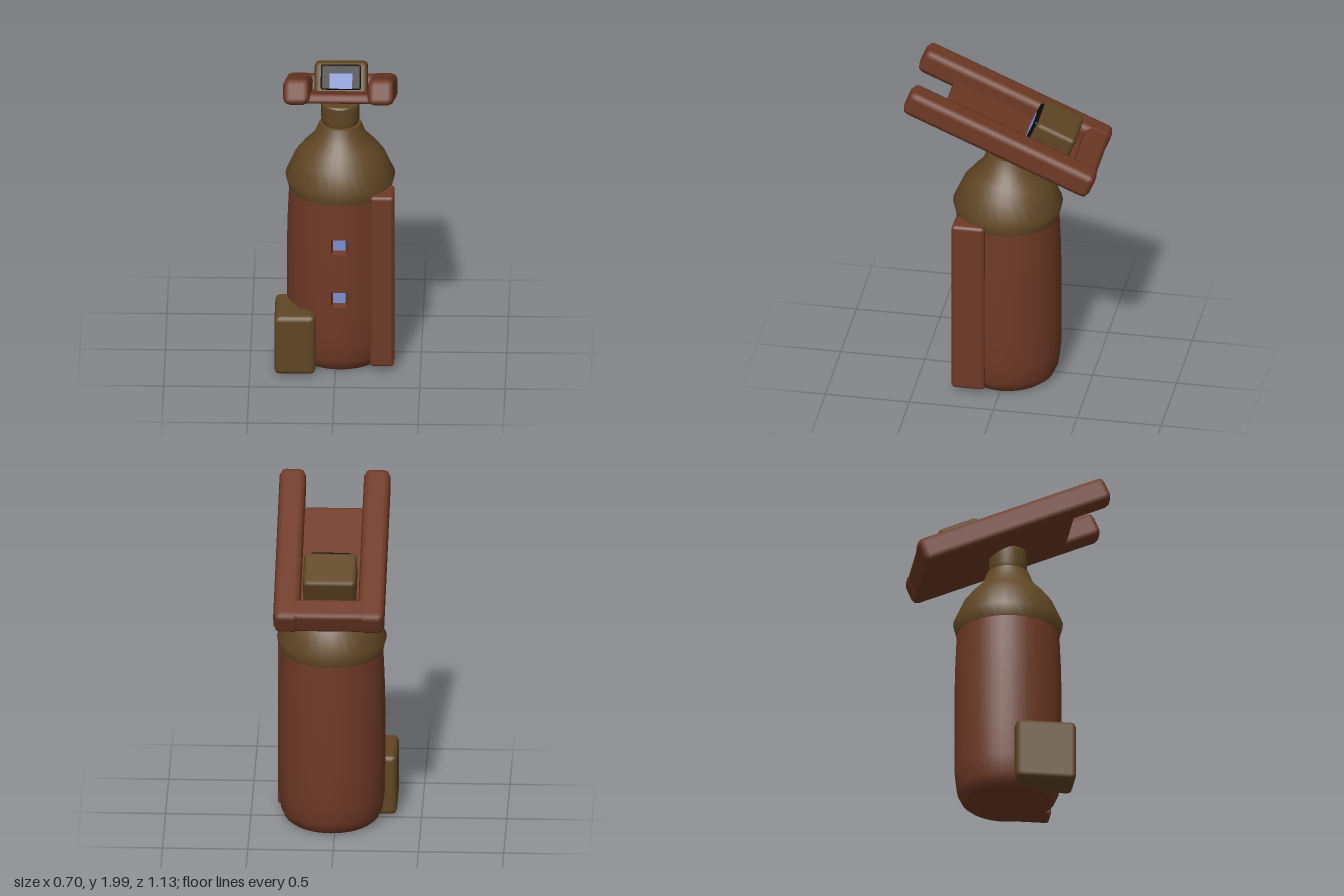
import * as THREE from 'three';
import { RoundedBoxGeometry } from 'three/addons/geometries/RoundedBoxGeometry.js';

const CX = 0.025; // main axis of the bottle

export function createModel() {
  const model = new THREE.Group();
  model.name = 'bottleDevice';

  const mat = (name, color, side = THREE.FrontSide) => {
    const m = new THREE.MeshStandardMaterial({ color, side });
    m.name = name;
    return m;
  };
  const brown = mat('rust brown', 0x6e3926, THREE.DoubleSide);
  const olive = mat('olive brown', 0x604624);
  const black = mat('black', 0x0a0a0a);
  const blue = mat('pale blue', 0x7b8fd0);

  const add = (parent, name, geometry, material, x = 0, y = 0, z = 0) => {
    const mesh = new THREE.Mesh(geometry, material);
    mesh.name = name;
    mesh.position.set(x, y, z);
    parent.add(mesh);
    return mesh;
  };
  // Bevelled box given by its limits on each axis
  const block = (parent, name, material, [x0, x1], [y0, y1], [z0, z1], bevel) =>
    add(parent, name, new RoundedBoxGeometry(x1 - x0, y1 - y0, z1 - z0, 1, bevel), material,
      (x0 + x1) / 2, (y0 + y1) / 2, (z0 + z1) / 2);
  const lathe = (pts, segments = 32, start = 0, length = Math.PI * 2) =>
    new THREE.LatheGeometry(pts.map(([r, y]) => new THREE.Vector2(r, y)), segments, start, length);

  // Body: a lathe left open in a narrow front strip, which is filled around the windows
  const profile = [[0, 0], [0.25, 0], [0.25, 0], [0.275, 0.02], [0.298, 0.07], [0.312, 0.18],
    [0.314, 0.4], [0.314, 0.7], [0.309, 0.9], [0.3, 1.1]];
  const windows = [0.475, 0.815];
  const half = 0.048;
  const angle = Math.asin(half / 0.314);
  const radiusAt = (y) => {
    const i = profile.findIndex((p, k) => k > 2 && p[1] >= y);
    const [a, b] = [profile[i - 1], profile[i]];
    return a[0] + (b[0] - a[0]) * (y - a[1]) / (b[1] - a[1]);
  };
  add(model, 'body', lathe(profile, 36, angle, Math.PI * 2 - 2 * angle), brown, CX);
  const cuts = [0, ...windows.flatMap((y) => [y - half, y + half]), 1.1];
  for (let i = 0; i < cuts.length; i += 2) {
    const [lo, hi] = [cuts[i], cuts[i + 1]];
    const pts = profile.filter(([, y]) => (y > lo && y < hi) || (lo === 0 && y === 0));
    if (lo > 0) pts.unshift([radiusAt(lo), lo]);
    pts.push([radiusAt(hi), hi]);
    add(model, 'bodyFrontStrip', lathe(pts, 2, -angle, 2 * angle), brown, CX);
  }

  // Recessed square windows with sloping walls
  for (const y of windows) {
    const walls = new THREE.CylinderGeometry(half * Math.SQRT2, 0.036 * Math.SQRT2, 0.05, 4, 1, true)
      .rotateY(Math.PI / 4).rotateX(Math.PI / 2).toNonIndexed();
    walls.computeVertexNormals();
    add(model, 'windowRecess', walls, brown, CX, y, 0.286);
    add(model, 'windowPane', new THREE.BoxGeometry(0.074, 0.074, 0.008), blue, CX, y, 0.264);
  }

  // Shoulder and neck
  add(model, 'shoulder', lathe([[0.29, 1.08], [0.302, 1.08], [0.302, 1.08], [0.322, 1.155],
    [0.266, 1.28], [0.215, 1.345], [0.155, 1.405], [0.122, 1.485], [0.122, 1.485], [0.1, 1.49]]), olive, CX);
  add(model, 'neck', lathe([[0.1, 1.47], [0.106, 1.49], [0.112, 1.52], [0.112, 1.61], [0.112, 1.61],
    [0.105, 1.62], [0.105, 1.62], [0, 1.62]]), olive, CX);

  // Upright panel on the left side and small box at the right front
  block(model, 'sidePanel', brown, [0.203, 0.345], [0.03, 1.125], [0.083, 0.28], 0.02);
  block(model, 'sideBox', olive, [-0.355, -0.115], [0.008, 0.38], [0, 0.357], 0.03);

  // Tilted tray on top: rails, rear bar, floor plate
  const tray = new THREE.Group();
  tray.name = 'tray';
  tray.position.set(CX, 1.697, 0);
  tray.rotation.x = -0.408;
  model.add(tray);
  for (const s of [-1, 1]) {
    const xs = s < 0 ? [-0.325, -0.17] : [0.17, 0.325];
    block(tray, 'rail', brown, xs, [-0.078, 0.078], [-0.6, 0.6], 0.038);
  }
  block(tray, 'rearBar', brown, [-0.25, 0.25], [-0.074, 0.074], [-0.592, -0.445], 0.03);
  block(tray, 'trayFloor', brown, [-0.25, 0.25], [-0.076, -0.018], [-0.5, 0.372], 0.02);

  // Housing with a dark framed screen
  block(tray, 'housing', olive, [-0.155, 0.155], [-0.04, 0.155], [-0.405, -0.153], 0.025);
  block(tray, 'screenFrame', black, [-0.118, 0.118], [-0.01, 0.138], [-0.19, -0.136], 0.012);
  add(tray, 'screen', new THREE.BoxGeometry(0.134, 0.09, 0.008), blue, 0, 0.042, -0.135);

  return model;
}
